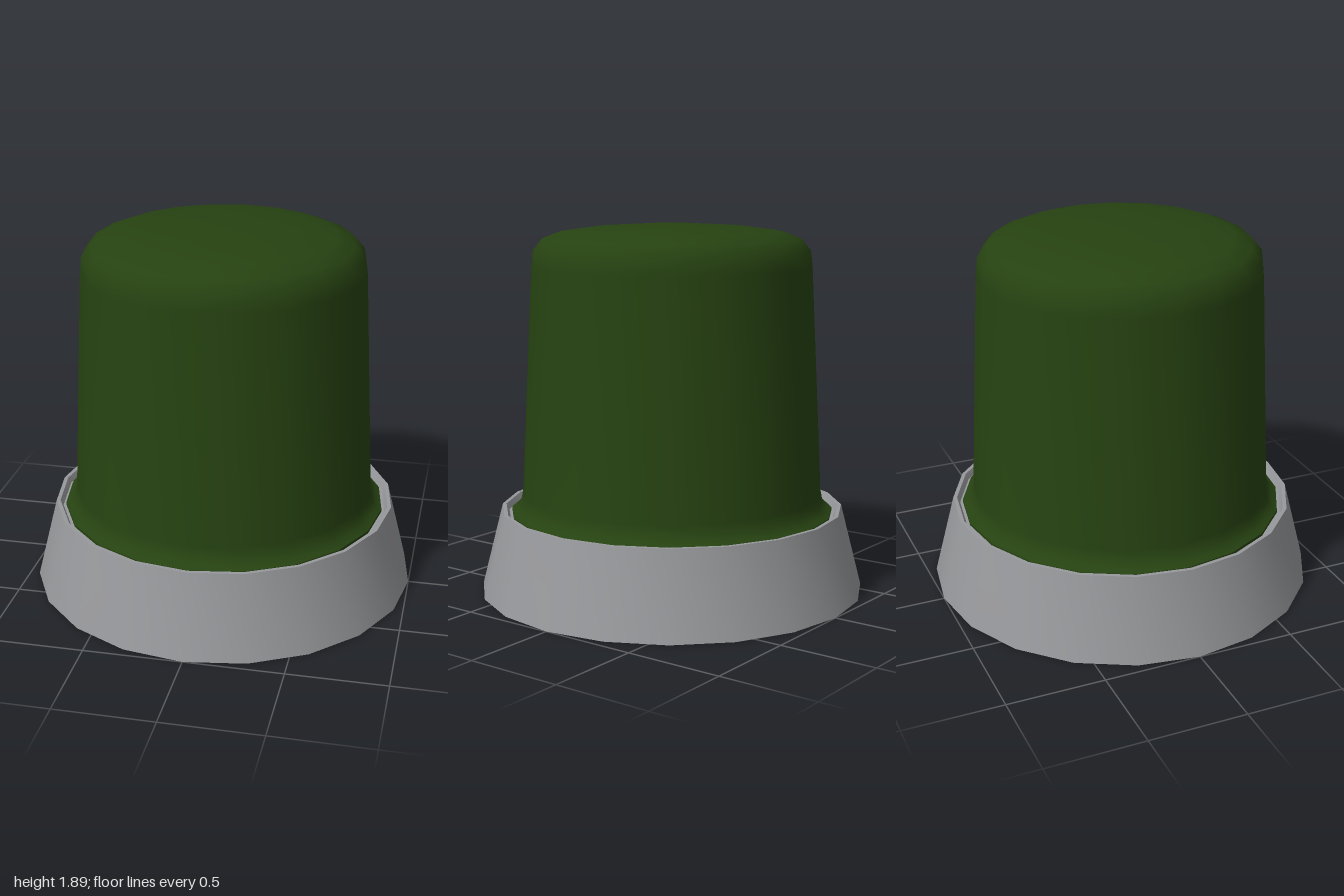
import * as THREE from 'three';
import { toCreasedNormals } from 'three/addons/utils/BufferGeometryUtils.js';

const SIDES = 20;

// Revolve a [radius, height] profile, listed from bottom to top on the outside
function revolve(name, profile, material) {
  const points = profile.map(([r, y]) => new THREE.Vector2(r, y));
  const geometry = toCreasedNormals(new THREE.LatheGeometry(points, SIDES), 0.7);
  const mesh = new THREE.Mesh(geometry, material);
  mesh.name = name;
  return mesh;
}

export function createModel() {
  const grey = new THREE.MeshStandardMaterial({ color: 0x98999c });
  grey.name = 'grey metal';
  const green = new THREE.MeshStandardMaterial({ color: 0x264211 });
  green.name = 'dark green lens';

  const model = new THREE.Group();
  model.name = 'beaconLamp';

  // Tapered base with a closed underside and a shallow recess inside its rim
  model.add(revolve('base', [
    [0, 0], [1, 0], [0.89, 0.43], [0.87, 0.43], [0.855, 0.4], [0, 0.4],
  ], grey));

  // Lens with a flared foot, tapered wall, rounded shoulder and shallow crown
  model.add(revolve('lens', [
    [0.84, 0.4], [0.84, 0.415], [0.815, 0.43], [0.79, 0.46], [0.78, 0.51],
    [0.72, 1.68], [0.71, 1.76], [0.66, 1.82], [0.57, 1.855],
    [0.38, 1.88], [0.13, 1.894], [0, 1.895],
  ], green));

  return model;
}
